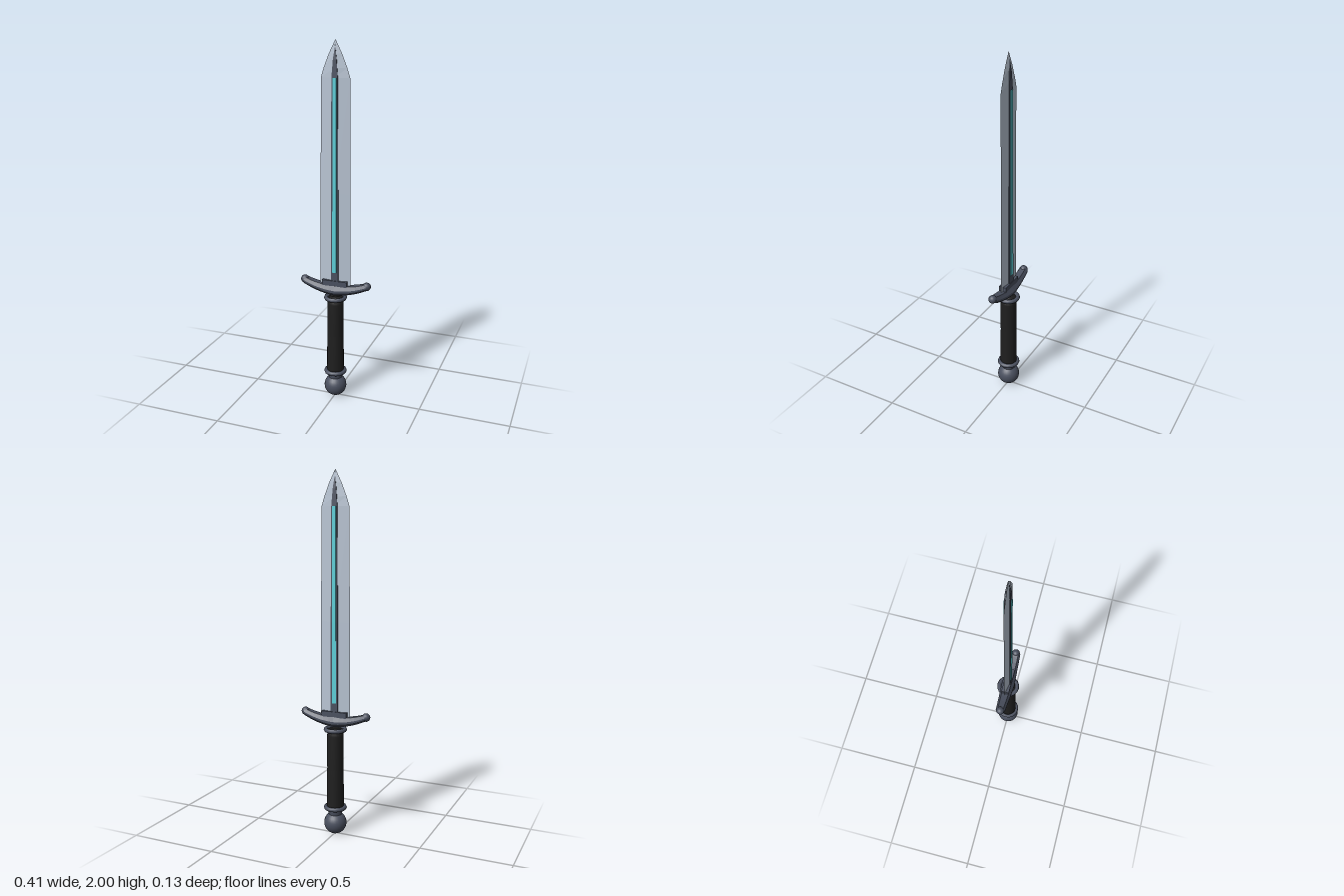
import * as THREE from 'three';

const mat = (name, color) => {
  const m = new THREE.MeshStandardMaterial({ color });
  m.name = name;
  return m;
};

// Skin a list of equal-sized rings of [x, y, z] and close both ends.
// Each ring runs anticlockwise when looking back along the loft direction.
function loft(rings) {
  const n = rings[0].length, pos = [];
  const tri = (a, b, c) => pos.push(...a, ...b, ...c);
  for (let r = 0; r < rings.length - 1; r++) {
    for (let i = 0; i < n; i++) {
      const j = (i + 1) % n, a = rings[r], b = rings[r + 1];
      tri(a[i], a[j], b[j]);
      tri(a[i], b[j], b[i]);
    }
  }
  const first = rings[0], last = rings[rings.length - 1];
  for (let i = 1; i < n - 1; i++) {
    tri(first[0], first[i + 1], first[i]);
    tri(last[0], last[i], last[i + 1]);
  }
  const g = new THREE.BufferGeometry();
  g.setAttribute('position', new THREE.Float32BufferAttribute(pos, 3));
  g.computeVertexNormals();
  return g;
}

// Horizontal rectangle at height y, for lofting upwards
const rect = (y, w, z0, z1) => [[w, y, z1], [w, y, z0], [-w, y, z0], [-w, y, z1]];

export function createModel() {
  const sword = new THREE.Group();
  sword.name = 'sword';

  const steel = mat('blade steel', 0xb9c5d4);
  const iron = mat('dark iron', 0x4a505f);
  const leather = mat('black leather', 0x1f1f1f);
  const glow = mat('cyan inlay', 0x5ccfd8);

  const add = (name, geometry, material, x = 0, y = 0, z = 0) => {
    const m = new THREE.Mesh(geometry, material);
    m.name = name;
    m.position.set(x, y, z);
    sword.add(m);
  };

  // Blade: diamond section [y, half width, half thickness]
  const bladeRows = [
    [0.66, 0.088, 0.016], [1.2, 0.085, 0.015], [1.81, 0.08, 0.014],
    [1.86, 0.064, 0.013], [1.93, 0.036, 0.009], [2.0, 0.0005, 0.0005],
  ];
  add('blade', loft(bladeRows.map(([y, w, t]) =>
    [[w, y, 0], [0, y, -t], [-w, y, 0], [0, y, t]])), steel);

  // Dark central rib, tapering towards the tip on both faces
  const ribRows = [
    [0.68, 0.021, 0.0185], [1.2, 0.02, 0.0168], [1.81, 0.017, 0.0148],
    [1.9, 0.01, 0.0122], [1.96, 0.002, 0.006],
  ];
  add('rib', loft(ribRows.map(([y, w, t]) => rect(y, w, -t, t))), iron);

  // Cyan inlay strips on the rib
  const inlayRows = [[0.755, 0.012, 0.0205], [1.2, 0.011, 0.0195], [1.81, 0.01, 0.0185]];
  add('frontInlay', loft(inlayRows.map(([y, w, t]) => rect(y, w, t - 0.008, t))), glow);
  add('backInlay', loft(inlayRows.map(([y, w, t]) => rect(y, w, -t, 0.008 - t))), glow);

  // Curved crossguard with chamfered, tapering section
  const section = [[1, 0.6], [0.1, 1], [-0.5, 1], [-1, 0.7], [-1, -0.7], [-0.5, -1], [0.1, -1], [1, -0.6]];
  const guardRings = [];
  for (let i = 0; i <= 12; i++) {
    const t = i / 6 - 1, k = Math.abs(t);
    const cy = 0.651 + 0.039 * t * t, h = 0.027 - 0.009 * k, d = 0.037 - 0.011 * k;
    guardRings.push(section.map(([v, z]) => [0.183 * t, cy + v * h, z * d]));
  }
  add('crossguard', loft(guardRings), iron);
  for (const s of [1, -1]) {
    add(s > 0 ? 'leftGuardKnob' : 'rightGuardKnob',
      new THREE.SphereGeometry(0.023, 16, 12), iron, s * 0.182, 0.691);
  }
  add('bladeCollar', new THREE.BoxGeometry(0.145, 0.04, 0.044), iron, 0, 0.687);

  // Leather grip in two wraps with a faint seam at the middle
  const gripProfile = [
    [0.001, 0.155], [0.047, 0.155], [0.048, 0.17], [0.0465, 0.375], [0.0445, 0.385],
    [0.0465, 0.395], [0.0455, 0.57], [0.043, 0.605], [0.001, 0.605],
  ];
  add('grip', new THREE.LatheGeometry(gripProfile.map(p => new THREE.Vector2(...p)), 20), leather);

  // Rings at both ends of the grip
  for (const [name, y] of [['upperRing', 0.604], ['lowerRing', 0.153]]) {
    const g = new THREE.TorusGeometry(0.053, 0.012, 8, 16);
    g.rotateX(Math.PI / 2);
    add(name, g, iron, 0, y);
  }

  // Pommel
  add('pommelNeck', new THREE.CylinderGeometry(0.043, 0.036, 0.05, 20), iron, 0, 0.13);
  add('pommel', new THREE.SphereGeometry(0.063, 24, 16), iron, 0, 0.063);

  return sword;
}
